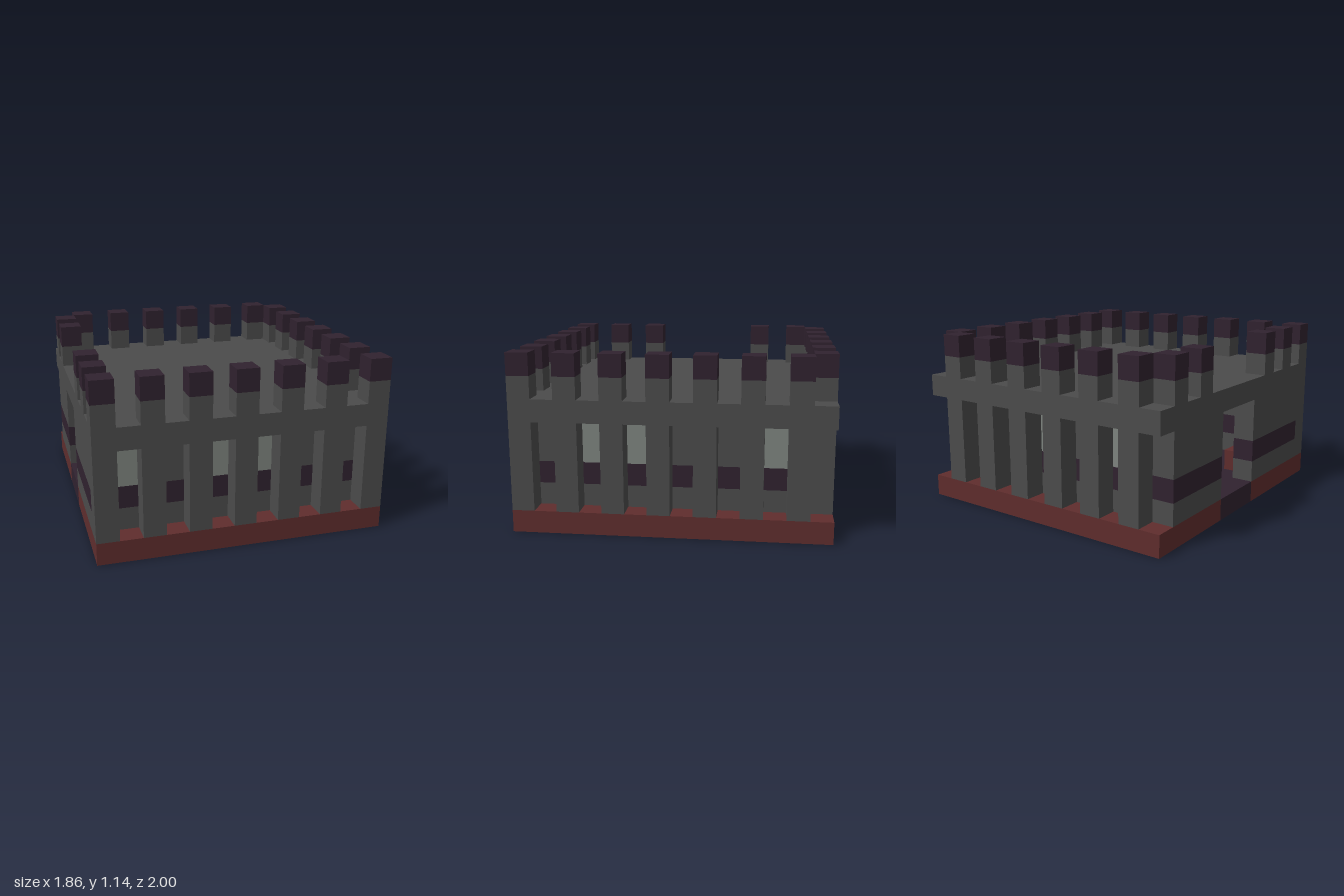
import * as THREE from 'three';

// Block grid: 13 wide (x), 14 deep (z), 8 high; one block is 1/7 unit.
const U = 1 / 7;

const stone = new THREE.MeshStandardMaterial({ color: 0x4b4b4b });
stone.name = 'stone';
const darkTrim = new THREE.MeshStandardMaterial({ color: 0x30222f });
darkTrim.name = 'dark trim';
const brick = new THREE.MeshStandardMaterial({ color: 0x5f2d2d });
brick.name = 'brick';
const glass = new THREE.MeshStandardMaterial({ color: 0x7e847f });
glass.name = 'glass';

export function createModel() {
  const model = new THREE.Group();
  model.name = 'fort';

  // Box spanning grid lines x0..x1, y0..y1, z0..z1
  function block(name, material, x0, x1, y0, y1, z0, z1) {
    const geometry = new THREE.BoxGeometry((x1 - x0) * U, (y1 - y0) * U, (z1 - z0) * U);
    const mesh = new THREE.Mesh(geometry, material);
    mesh.position.set(((x0 + x1) / 2 - 6.5) * U, ((y0 + y1) / 2) * U, ((z0 + z1) / 2 - 7) * U);
    mesh.name = name;
    model.add(mesh);
  }

  // Base: brick ring around a dark floor, with a dark threshold at the doorway
  block('baseBack', brick, 0, 13, 0, 1, 0, 2);
  block('baseFront', brick, 0, 13, 0, 1, 12, 14);
  block('baseRight', brick, 11, 13, 0, 1, 2, 12);
  block('baseLeftRear', brick, 0, 1, 0, 1, 2, 5);
  block('baseLeftFront', brick, 0, 1, 0, 1, 8, 12);
  block('floor', darkTrim, 1, 11, 0, 1, 2, 12);
  block('threshold', darkTrim, 0, 1, 0, 1, 5, 8);

  // Wall run along x or z: stone foot, dark band, then stone with glass windows
  function wall(name, axis, line, from, to, windows = []) {
    const part = (suffix, material, a, b, y0, y1) => {
      if (b <= a) return;
      if (axis === 'x') block(name + suffix, material, a, b, y0, y1, line, line + 1);
      else block(name + suffix, material, line, line + 1, y0, y1, a, b);
    };
    part('Foot', stone, from, to, 1, 2);
    part('Band', darkTrim, from, to, 2, 3);
    let start = from;
    for (const w of windows) {
      part('Upper', stone, start, w, 3, 5);
      part('Window', glass, w, w + 1, 3, 5);
      start = w + 1;
    }
    part('Upper', stone, start, to, 3, 5);
  }
  wall('frontWall', 'x', 12, 0, 12, [1, 5, 7]);
  wall('backWall', 'x', 1, 0, 12, [2, 6, 10]);
  wall('rightWall', 'z', 11, 2, 12, [2, 8, 10]);
  wall('leftWallRear', 'z', 0, 2, 5);
  wall('leftWallFront', 'z', 0, 8, 12);

  // Low block inside, beside the doorway
  block('innerBlock', brick, 1, 2, 1, 2, 9, 10);

  // Roof slab
  block('roof', stone, 0, 13, 5, 6, 0, 14);

  // Columns below the roof and battlements above it
  function column(x, z) {
    block('column', stone, x, x + 1, 1, 5, z, z + 1);
  }
  function merlon(x, z) {
    block('merlon', stone, x, x + 1, 6, 7, z, z + 1);
    block('merlonCap', darkTrim, x, x + 1, 7, 8, z, z + 1);
  }
  for (let x = 0; x <= 12; x += 2) { column(x, 13); merlon(x, 13); }
  for (let x = 1; x <= 11; x += 2) { column(x, 0); merlon(x, 0); }
  for (let z = 1; z <= 11; z += 2) { column(12, z); merlon(12, z); }
  for (const z of [1, 3, 9, 11]) merlon(0, z);

  return model;
}
